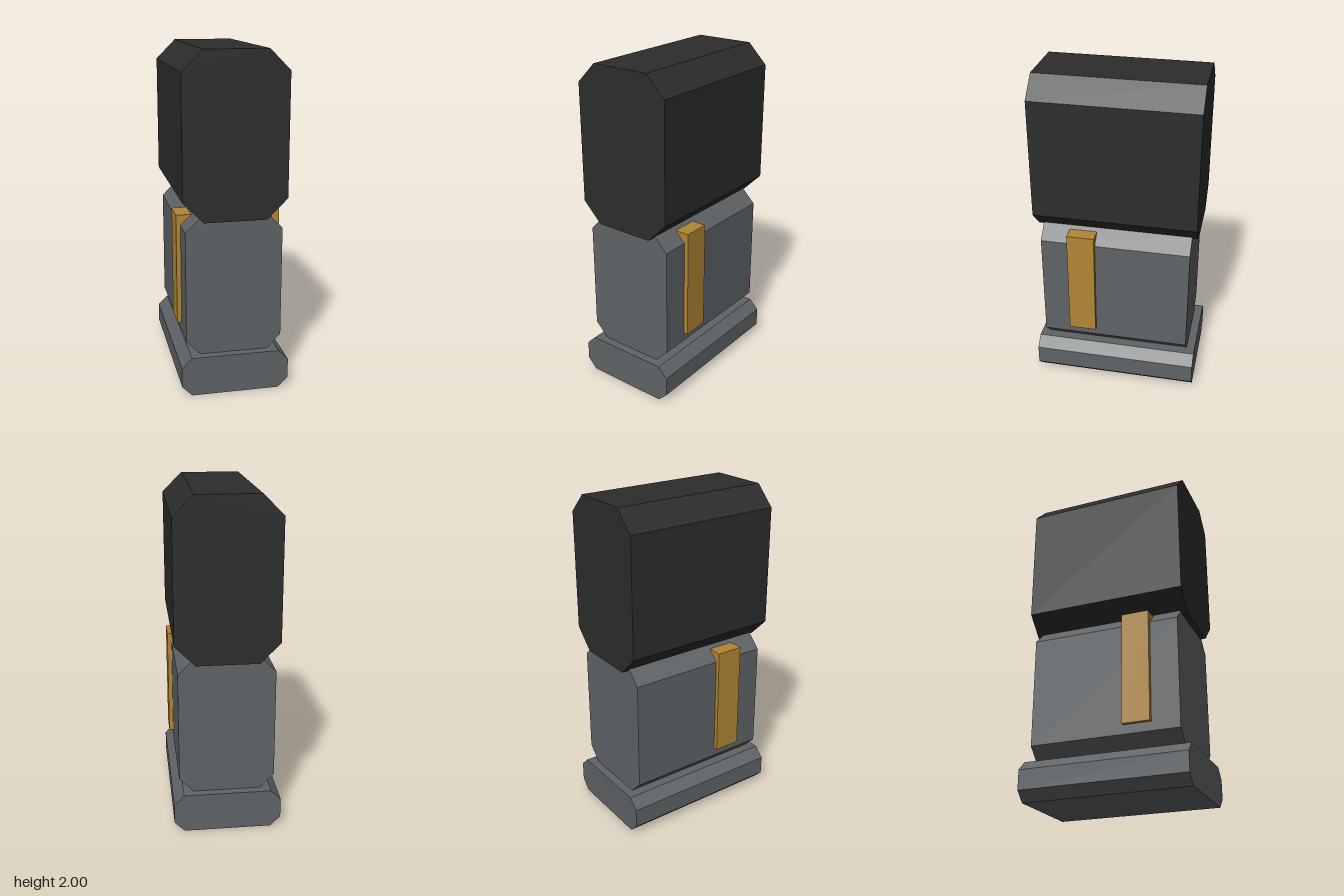
import * as THREE from 'three';

const grey = new THREE.MeshStandardMaterial({ name: 'slate grey', color: 0x606467 });
const black = new THREE.MeshStandardMaterial({ name: 'charcoal', color: 0x2d2d2d });
const gold = new THREE.MeshStandardMaterial({ name: 'gold', color: 0xb28735 });

// Block with an eight-sided front outline, extruded along z
function chamferedBlock(name, halfWidth, y0, y1, depth, cut, material) {
  const w = halfWidth;
  const shape = new THREE.Shape([
    [-w + cut, y0], [w - cut, y0], [w, y0 + cut], [w, y1 - cut],
    [w - cut, y1], [-w + cut, y1], [-w, y1 - cut], [-w, y0 + cut],
  ].map(([x, y]) => new THREE.Vector2(x, y)));
  const geometry = new THREE.ExtrudeGeometry(shape, { depth, bevelEnabled: false });
  geometry.translate(0, 0, -depth / 2);
  const mesh = new THREE.Mesh(geometry, material);
  mesh.name = name;
  return mesh;
}

export function createModel() {
  const model = new THREE.Group();
  model.name = 'cappedBlock';

  // Stacked blocks: wide foot, body and tall dark cap
  model.add(
    chamferedBlock('base', 0.32, 0, 0.237, 1.006, 0.06, grey),
    chamferedBlock('body', 0.284, 0.237, 1.065, 0.904, 0.084, grey),
    chamferedBlock('cap', 0.303, 1.046, 2, 0.974, 0.12, black),
  );

  // Band running through the body, standing proud on both sides
  const band = new THREE.Mesh(new THREE.BoxGeometry(0.62, 0.67, 0.166), gold);
  band.name = 'band';
  band.position.set(0, 0.71, 0.202);
  model.add(band);

  return model;
}
